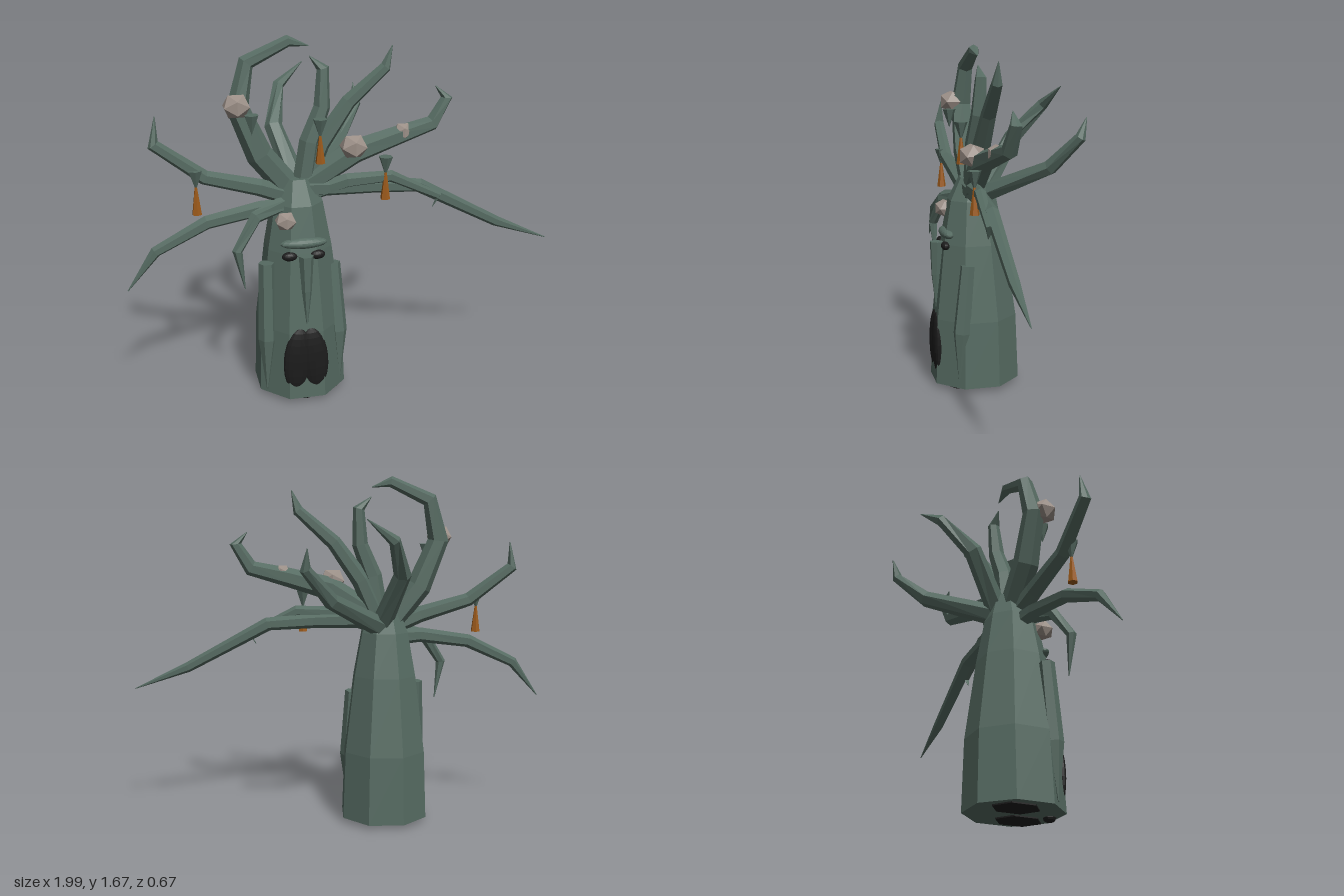
import * as THREE from 'three';

const mat = (name, color) => {
  const m = new THREE.MeshStandardMaterial({ color, flatShading: true });
  m.name = name;
  return m;
};
const V = (a) => new THREE.Vector3(a[0], a[1], a[2]);

// Skins a list of rings (arrays of Vector3) and caps both ends
function skin(rings) {
  const n = rings[0].length, pos = [], idx = [];
  rings.forEach((r) => r.forEach((p) => pos.push(p.x, p.y, p.z)));
  for (let i = 0; i < rings.length - 1; i++) {
    for (let j = 0; j < n; j++) {
      const a = i * n + j, b = i * n + (j + 1) % n;
      idx.push(a, b, b + n, a, b + n, a + n);
    }
  }
  const top = (rings.length - 1) * n;
  for (let j = 1; j < n - 1; j++) idx.push(0, j + 1, j, top, top + j, top + j + 1);
  const g = new THREE.BufferGeometry();
  g.setAttribute('position', new THREE.Float32BufferAttribute(pos, 3));
  g.setIndex(idx);
  const flat = g.toNonIndexed();
  flat.computeVertexNormals();
  return flat;
}

// Six-sided tapering limb along a bent path, points are [x, y, z, radius]
function limb(points) {
  const p = points.map(V);
  const rings = p.map((c, i) => {
    const t = p[Math.min(i + 1, p.length - 1)].clone().sub(p[Math.max(i - 1, 0)]).normalize();
    const u = new THREE.Vector3(0, 0, 1).cross(t).normalize();
    const w = t.clone().cross(u);
    return Array.from({ length: 6 }, (_, j) => {
      const a = j * Math.PI / 3;
      return c.clone().addScaledVector(u, Math.cos(a) * points[i][3]).addScaledVector(w, Math.sin(a) * points[i][3]);
    });
  });
  return skin(rings);
}

export function createModel() {
  const group = new THREE.Group();
  const bark = mat('bark green', 0x566b62);
  const dark = mat('hollow black', 0x1c1c1c);
  const pale = mat('pale fungus', 0x9c9088);
  const amber = mat('amber', 0x9c5a1a);
  const add = (name, geo, material, at = [0, 0, 0]) => {
    const m = new THREE.Mesh(geo, material);
    m.name = name;
    m.position.set(...at);
    group.add(m);
    return m;
  };

  // Eight-sided tapering trunk: [y, centre z, radius]
  const trunk = [[0.022, 0.115, 0.225], [0.35, 0.115, 0.212], [0.72, 0.12, 0.163], [0.93, 0.12, 0.122], [1.04, 0.11, 0.075]];
  add('trunk', skin(trunk.map(([y, z, r]) => Array.from({ length: 8 }, (_, j) => {
    const a = (j + 0.5) * Math.PI / 4;
    return new THREE.Vector3(-0.225 + r * 0.97 * Math.sin(a), y, z + r * Math.cos(a));
  }))), bark);

  // Dark hollows under the trunk
  for (const s of [-1, 1]) {
    const h = add('baseHollow', new THREE.CylinderGeometry(0.085, 0.085, 0.008, 6), dark, [-0.225 + s * 0.09, 0.02, 0.13 + s * 0.05]);
    h.scale.z = 1.3;
  }
  add('baseRoot', new THREE.SphereGeometry(0.03, 8, 6), dark, [-0.225, 0.02, 0.285]).scale.y = 0.66;

  // Branches
  const branches = {
    curledBranch: [[-0.23, 0.95, 0.11, 0.06], [-0.39, 1.15, 0.12, 0.06], [-0.48, 1.37, 0.12, 0.05], [-0.435, 1.56, 0.105, 0.037], [-0.25, 1.645, 0.1, 0.026], [-0.16, 1.62, 0.1, 0.002]],
    middleBranch: [[-0.2, 0.98, 0.12, 0.05], [-0.165, 1.2, 0.12, 0.046], [-0.105, 1.35, 0.11, 0.038], [-0.098, 1.52, 0.1, 0.028], [-0.158, 1.575, 0.1, 0.002]],
    diagonalBranch: [[-0.2, 0.98, 0.11, 0.05], [-0.11, 1.18, 0.1, 0.045], [0.02, 1.36, 0.09, 0.036], [0.19, 1.51, 0.09, 0.026], [0.22, 1.605, 0.09, 0.002]],
    strongLeftBranch: [[-0.2, 0.99, 0.12, 0.055], [0.04, 1.14, 0.13, 0.057], [0.24, 1.195, 0.11, 0.046], [0.415, 1.24, 0.09, 0.037], [0.485, 1.355, 0.08, 0.028], [0.43, 1.41, 0.08, 0.002]],
    longLeftBranch: [[-0.2, 0.99, 0.14, 0.045], [0.12, 0.98, 0.15, 0.036], [0.34, 0.965, 0.15, 0.033], [0.73, 0.755, 0.15, 0.025], [0.99, 0.65, 0.15, 0.002]],
    shortLeftBranch: [[-0.2, 0.95, 0.13, 0.04], [0.0, 1.015, 0.16, 0.035], [0.2, 1.025, 0.17, 0.028], [0.43, 0.915, 0.18, 0.018], [0.4, 0.865, 0.18, 0.002]],
    upperRightBranch: [[-0.25, 0.95, 0.13, 0.045], [-0.4, 1.01, 0.15, 0.04], [-0.64, 1.08, 0.17, 0.033], [-0.85, 1.24, 0.17, 0.027], [-0.835, 1.36, 0.16, 0.002]],
    lowerRightBranch: [[-0.25, 0.9, 0.13, 0.045], [-0.4, 0.91, 0.15, 0.036], [-0.64, 0.875, 0.18, 0.032], [-0.87, 0.765, 0.2, 0.025], [-1, 0.595, 0.21, 0.002]],
    droopingBranch: [[-0.26, 0.94, 0.15, 0.04], [-0.43, 0.9, 0.23, 0.03], [-0.52, 0.76, 0.265, 0.023], [-0.49, 0.575, 0.26, 0.002]],
    rearRightBranch: [[-0.21, 0.98, 0.06, 0.05], [-0.29, 1.22, -0.1, 0.042], [-0.24, 1.38, -0.24, 0.028], [-0.115, 1.475, -0.295, 0.002]],
    rearLeftBranch: [[-0.2, 0.96, 0.06, 0.05], [0.04, 1.11, -0.2, 0.038], [0.155, 1.26, -0.31, 0.026], [0.145, 1.35, -0.34, 0.002]],
  };
  for (const [name, path] of Object.entries(branches)) add(name, limb(path), bark);

  // Pale fungus knobs: x, y, z, radius
  for (const [x, y, z, r] of [[-0.49, 1.385, 0.165, 0.065], [0.025, 1.175, 0.17, 0.066], [0.27, 1.215, 0.11, 0.047], [-0.3, 0.875, 0.245, 0.051]]) {
    add('fungusKnob', new THREE.IcosahedronGeometry(r, 0), pale, [x, y, z]).scale.y = 0.9;
  }

  // Hanging pods: inverted cup with an amber drop
  for (const [x, y, drop] of [[-0.68, 1.12, 1], [-0.13, 1.315, 1], [0.17, 1.125, 1], [-0.43, 1.35, 0]]) {
    add('podCup', new THREE.ConeGeometry(0.033, 0.09, 6).rotateX(Math.PI), bark, [x, y - 0.045, 0.19]);
    if (drop) add('amberDrop', new THREE.CylinderGeometry(0.005, 0.023, 0.13, 6), amber, [x, y - 0.135, 0.19]);
  }

  // Bark flaps and nose, thick at the top and pointed below
  add('leftFlap', limb([[-0.072, 0.63, 0.175, 0.035], [-0.055, 0.3, 0.21, 0.042], [-0.05, 0.06, 0.225, 0.003]].reverse()), bark);
  add('rightFlap', limb([[-0.385, 0.67, 0.21, 0.037], [-0.392, 0.3, 0.23, 0.042], [-0.4, 0.04, 0.235, 0.003]].reverse()), bark);
  add('nose', limb([[-0.22, 0.395, 0.305, 0.004], [-0.22, 0.56, 0.305, 0.023], [-0.22, 0.725, 0.3, 0.034]]), bark);

  // Face
  const ball = (name, material, at, size, tilt = 0) => {
    const m = add(name, new THREE.SphereGeometry(1, 16, 12), material, at);
    m.scale.set(...size);
    m.rotation.z = tilt;
  };
  ball('brow', bark, [-0.22, 0.768, 0.25], [0.107, 0.026, 0.034]);
  for (const s of [-1, 1]) {
    ball('eye', dark, [-0.225 + s * 0.063, 0.714, 0.266], [0.035, 0.021, 0.021]);
    ball('mouthHalf', dark, [-0.228 + s * 0.037, 0.215, 0.307], [0.067, 0.157, 0.026], s * 0.08);
  }
  return group;
}
